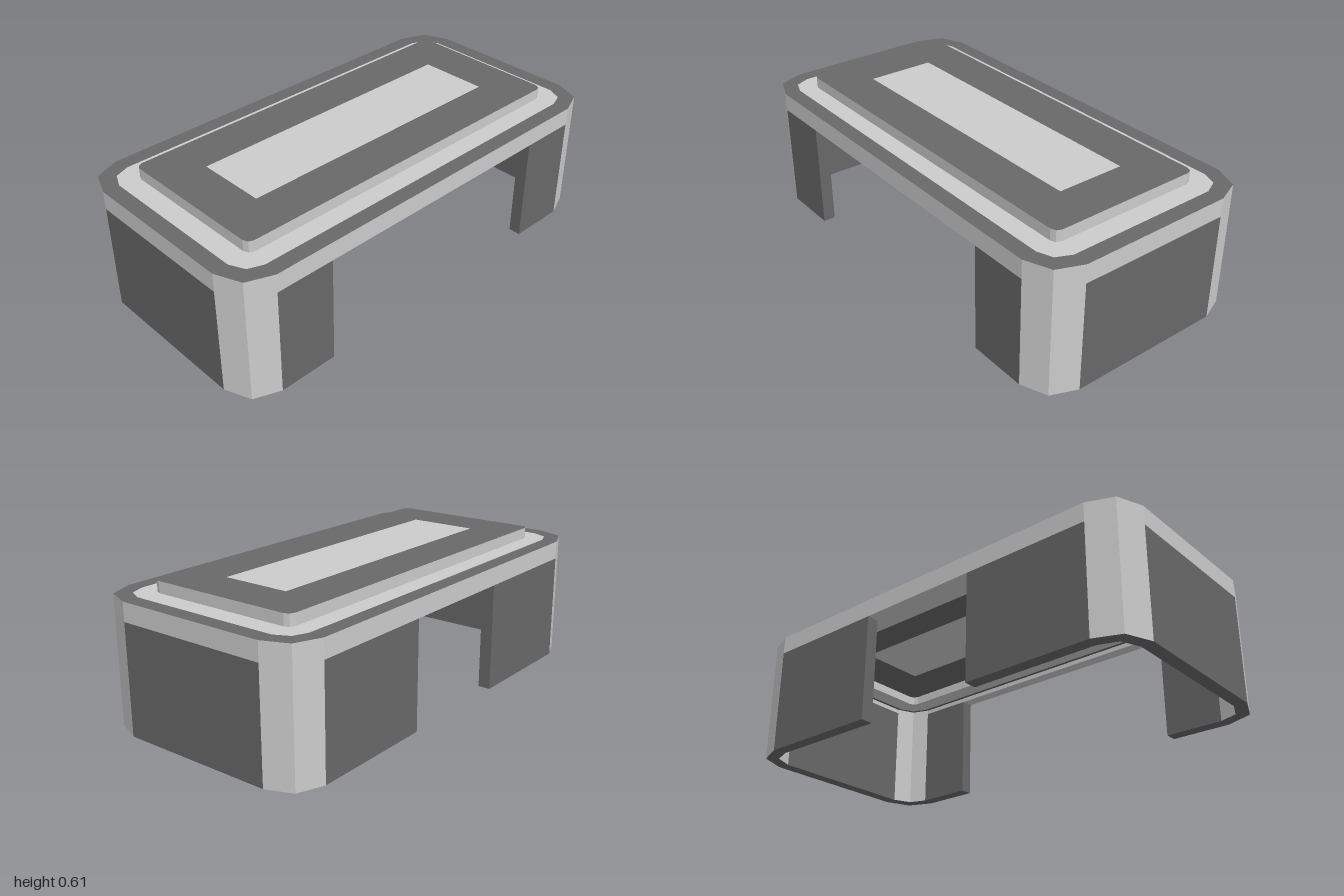
import * as THREE from 'three';

const light = new THREE.MeshStandardMaterial({ color: 0xcccccc, flatShading: true });
const dark = new THREE.MeshStandardMaterial({ color: 0x686868, flatShading: true });

// One corner of the chamfered outlines, from the long side round to the end
const OUTER = [[0.843, 0.505], [0.955, 0.46], [1, 0.348]];
const WALL = [[0.833, 0.45], [0.911, 0.421], [0.945, 0.342]];
const BAND = [[0.835, 0.435], [0.9, 0.41], [0.93, 0.345]];
const SIGNS = [[1, 1], [-1, 1], [-1, -1], [1, -1]];
const LEG_H = 0.475, BAND_BASE = 0.495, SLAB_BASE = 0.535, TOP = 0.556, SLAB_TOP = 0.605;

// Mirror one corner into a full closed outline
function outline(corner) {
  const pts = [];
  SIGNS.forEach(([sx, sz], i) => {
    const c = i % 2 ? corner : [...corner].reverse();
    c.forEach(([x, z]) => pts.push(new THREE.Vector2(x * sx, z * sz)));
  });
  return pts;
}

function rectangle(hx, hz) {
  return SIGNS.map(([sx, sz]) => new THREE.Vector2(hx * sx, hz * sz));
}

function roundedRectangle(hx, hz, r) {
  const c = r * 0.3;
  return outline([[hx - r, hz], [hx - c, hz - c], [hx, hz - r]]);
}

// Extrude a plan outline upwards between two heights
function prism(group, name, pts, y0, y1, caps, sides, hole) {
  const shape = new THREE.Shape(pts);
  if (hole) shape.holes.push(new THREE.Path(hole));
  const geo = new THREE.ExtrudeGeometry(shape, { depth: y1 - y0, bevelEnabled: false });
  geo.rotateX(-Math.PI / 2);
  geo.translate(0, y0, 0);
  const mesh = new THREE.Mesh(geo, [caps, sides]);
  mesh.name = name;
  group.add(mesh);
}

function panel(group, name, x0, x1, z0, z1) {
  const mesh = new THREE.Mesh(new THREE.BoxGeometry(x1 - x0, LEG_H, z1 - z0), dark);
  mesh.position.set((x0 + x1) / 2, LEG_H / 2, (z0 + z1) / 2);
  mesh.name = name;
  group.add(mesh);
}

export function createModel() {
  const model = new THREE.Group();
  model.name = 'table';

  // Corner posts
  const post = [...OUTER, ...[...WALL].reverse()];
  for (const [sx, sz] of SIGNS) {
    const pts = post.map(([x, z]) => new THREE.Vector2(x * sx, z * sz));
    prism(model, 'cornerPost', pts, 0, LEG_H, dark, light);
  }

  // Wall panels: wide opening at the front, narrow one at the back
  panel(model, 'leftEndPanel', 0.945, 1, -0.348, 0.348);
  panel(model, 'rightEndPanel', -1, -0.945, -0.348, 0.348);
  panel(model, 'frontLeftPanel', 0.58, 0.843, 0.45, 0.505);
  panel(model, 'frontRightPanel', -0.843, -0.58, 0.45, 0.505);
  panel(model, 'backLeftPanel', 0.28, 0.843, -0.505, -0.45);
  panel(model, 'backRightPanel', -0.843, -0.28, -0.505, -0.45);

  // Apron, and the wider dark rim on top of it
  prism(model, 'apron', outline(OUTER), LEG_H, BAND_BASE, light, light, outline(WALL));
  prism(model, 'topRim', outline(OUTER), BAND_BASE, TOP, dark, light, outline(BAND));

  // Light band around the raised slab
  const slab = roundedRectangle(0.843, 0.352, 0.03);
  prism(model, 'topBand', outline(BAND), BAND_BASE, TOP, light, light, slab);

  // Raised slab, recessed underneath, with a flush inlay running through it
  const inlay = rectangle(0.645, 0.155);
  prism(model, 'raisedSlab', slab, SLAB_BASE, SLAB_TOP, dark, light, inlay);
  prism(model, 'inlay', inlay, SLAB_BASE, SLAB_TOP, light, light);

  return model;
}
